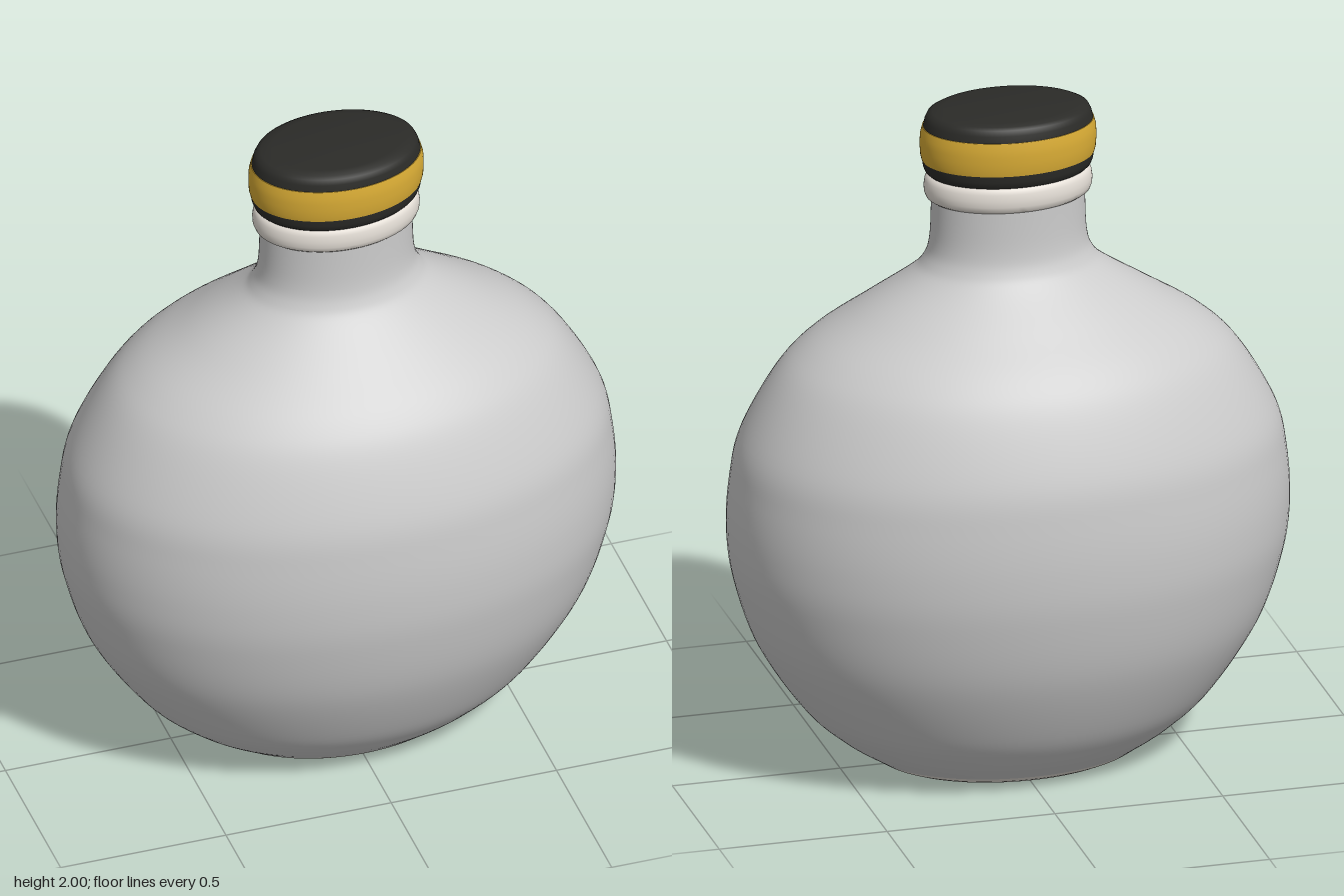
import * as THREE from 'three';
import { toCreasedNormals } from 'three/addons/utils/BufferGeometryUtils.js';

const DEPTH = 0.7; // every cross-section is an ellipse: depth / width
const SEGMENTS = 96;

// Profile points are [radius, height], listed from bottom to top
function spun(name, points, color, crease = 0) {
  let geometry = new THREE.LatheGeometry(points.map(([r, y]) => new THREE.Vector2(r, y)), SEGMENTS);
  if (crease) geometry = toCreasedNormals(geometry, crease);
  geometry.scale(1, 1, DEPTH);
  const material = new THREE.MeshStandardMaterial({ color, side: THREE.DoubleSide });
  const mesh = new THREE.Mesh(geometry, material);
  mesh.name = name;
  return mesh;
}

// Smooth curve through a few profile points
function smooth(points, count) {
  const curve = new THREE.SplineCurve(points.map(([r, y]) => new THREE.Vector2(r, y)));
  return curve.getPoints(count).map((p) => [p.x, p.y]);
}

export function createModel() {
  const group = new THREE.Group();
  group.name = 'flask';
  const grey = 0xcccccc, cream = 0xe6e0d8, black = 0x2b2b28, gold = 0xd9ac35;

  // Round belly flowing into a straight neck
  const body = smooth([
    [0.4, 0.028], [0.5, 0.095], [0.61, 0.2], [0.74, 0.4], [0.807, 0.6], [0.825, 0.75],
    [0.815, 0.9], [0.785, 1.03], [0.69, 1.2], [0.595, 1.3], [0.445, 1.4], [0.3, 1.495],
    [0.25, 1.545], [0.23, 1.61], [0.225, 1.74],
  ], 90);
  group.add(spun('body', body, grey));

  // Foot ring with a slightly recessed bottom
  group.add(spun('footRing', [
    [0.285, 0.012], [0.287, 0.003], [0.295, 0], [0.33, 0], [0.355, 0.005], [0.38, 0.015], [0.4, 0.028],
  ], cream));
  group.add(spun('bottom', [[0, 0.012], [0.287, 0.012]], grey));

  // Rounded collar under the cap
  group.add(spun('collar', [
    [0.2, 1.73], [0.23, 1.73], [0.24, 1.737], [0.246, 1.752], [0.247, 1.77],
    [0.244, 1.79], [0.238, 1.803], [0.225, 1.81], [0.2, 1.81],
  ], cream, 0.9));

  // Cap: black base, gold band, black top
  group.add(spun('capBase', [
    [0, 1.808], [0.235, 1.808], [0.243, 1.815], [0.249, 1.83], [0.252, 1.85], [0, 1.85],
  ], black, 0.9));
  group.add(spun('capBand', [
    [0.24, 1.85], [0.253, 1.85], [0.257, 1.866], [0.2585, 1.89], [0.2585, 1.91],
    [0.257, 1.93], [0.251, 1.952], [0.24, 1.952],
  ], gold, 0.9));
  group.add(spun('capTop', [
    [0.249, 1.95], [0.244, 1.972], [0.236, 1.988], [0.222, 1.995], [0.19, 1.999], [0, 2],
  ], black, 0.9));
  return group;
}
